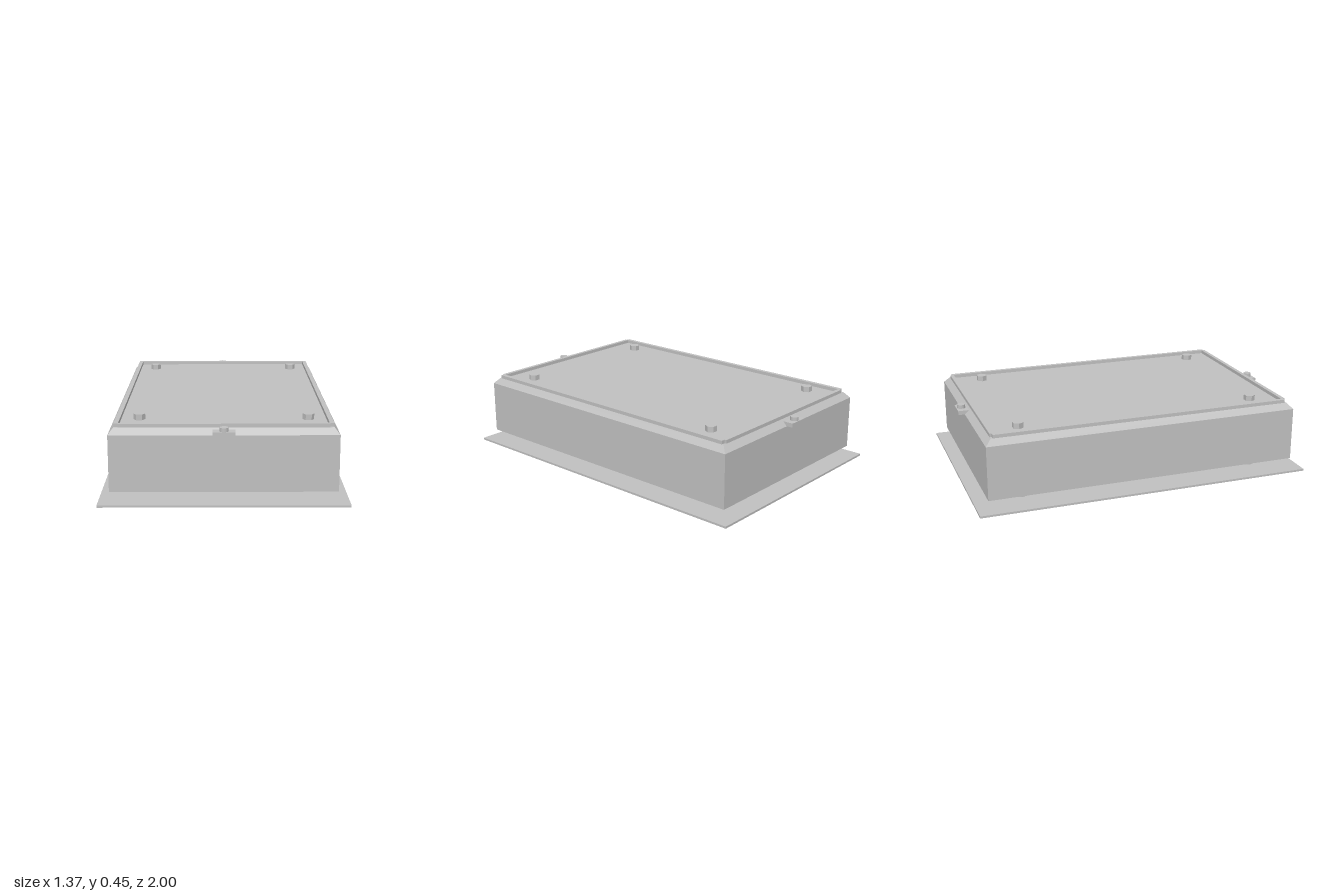
import * as THREE from 'three';

export function createModel() {
  const model = new THREE.Group();
  model.name = 'enclosure';
  const grey = new THREE.MeshStandardMaterial({ color: 0xc0c0c0 });
  grey.name = 'light grey';

  const add = (name, geometry, x, y, z) => {
    const mesh = new THREE.Mesh(geometry, grey);
    mesh.name = name;
    mesh.position.set(x, y, z);
    model.add(mesh);
    return mesh;
  };
  // Box given by its bottom and top heights
  const box = (name, w, y0, y1, d, x = 0, z = 0) =>
    add(name, new THREE.BoxGeometry(w, y1 - y0, d), x, (y0 + y1) / 2, z);
  const cylinder = (name, r, y0, y1, x, z, sides = 32) =>
    add(name, new THREE.CylinderGeometry(r, r, y1 - y0, sides), x, (y0 + y1) / 2, z);

  // Mounting plate and main body
  box('basePlate', 1.37, 0, 0.012, 2);
  box('body', 1.246, 0.068, 0.385, 1.876);

  // Sloped shoulder: a box with its top face drawn in
  const slope = new THREE.BoxGeometry(1.246, 0.035, 1.876);
  const p = slope.attributes.position;
  for (let i = 0; i < p.count; i++) {
    if (p.getY(i) > 0) {
      p.setX(i, Math.sign(p.getX(i)) * 0.594);
      p.setZ(i, Math.sign(p.getZ(i)) * 0.904);
    }
  }
  const shoulderGeometry = slope.toNonIndexed();
  shoulderGeometry.computeVertexNormals();
  add('shoulder', shoulderGeometry, 0, 0.4025, 0);

  for (const s of [-1, 1]) {
    // Raised rim around the lid
    box('sideRim', 0.025, 0.42, 0.44, 1.784, s * 0.5815, 0);
    box('endRim', 1.14, 0.42, 0.44, 0.023, 0, s * 0.8925);

    // Latch tab with its round stud
    box('latchTab', 0.122, 0.386, 0.41, 0.064, 0, s * 0.945);
    cylinder('latchStud', 0.024, 0.41, 0.432, 0, s * 0.947);

    // Feet below and hexagonal bolt heads on the lid
    for (const t of [-1, 1]) {
      cylinder('foot', 0.044, 0.012, 0.068, s * 0.468, t * 0.72);
      const bolt = cylinder('boltHead', 0.033, 0.42, 0.452, s * 0.468, t * 0.72, 6);
      bolt.geometry = bolt.geometry.toNonIndexed();
      bolt.geometry.rotateY(Math.PI / 6);
      bolt.geometry.computeVertexNormals();
    }
  }
  return model;
}
